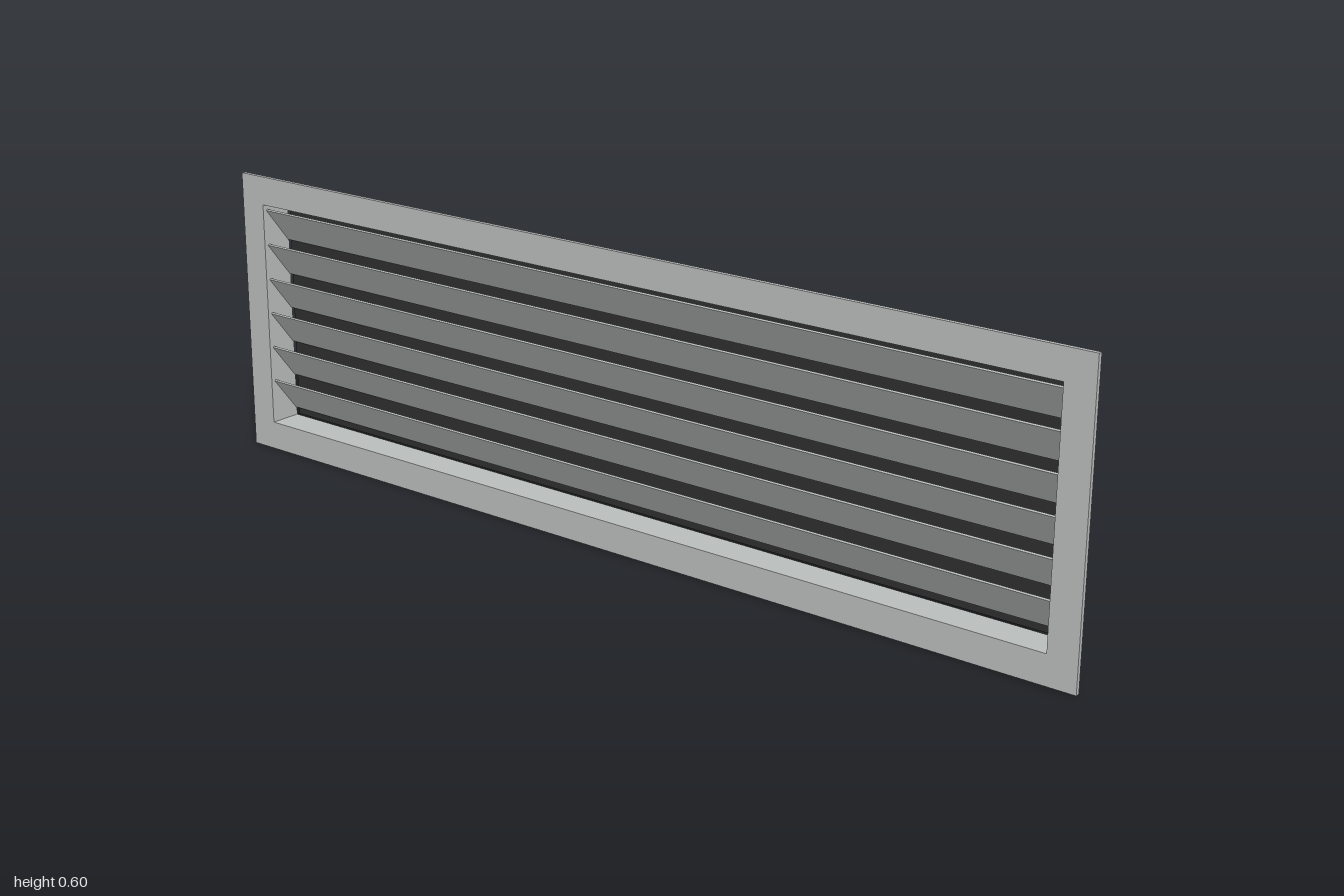
import * as THREE from 'three';

const HOLE_W = 1.88, HOLE_H = 0.48, CENTRE_Y = 0.3;

// Rectangular ring in the XY plane, from z0 to z0 + depth
function ringGeometry(width, height, z0, depth) {
  const rect = (target, w, h) => target
    .moveTo(-w / 2, -h / 2).lineTo(w / 2, -h / 2)
    .lineTo(w / 2, h / 2).lineTo(-w / 2, h / 2).closePath();
  const shape = rect(new THREE.Shape(), width, height);
  shape.holes.push(rect(new THREE.Path(), HOLE_W, HOLE_H));
  return new THREE.ExtrudeGeometry(shape, { depth, bevelEnabled: false }).translate(0, CENTRE_Y, z0);
}

export function createModel() {
  const model = new THREE.Group();
  model.name = 'ventGrille';

  const metal = new THREE.MeshStandardMaterial({ color: 0xb8bcba });
  metal.name = 'light grey metal';
  const dark = new THREE.MeshStandardMaterial({ color: 0x302e2f });
  dark.name = 'dark backing';

  const add = (name, geometry, material, parent = model) => {
    const mesh = new THREE.Mesh(geometry, material);
    mesh.name = name;
    parent.add(mesh);
    return mesh;
  };

  // Front flange and the duct collar behind it
  add('flange', ringGeometry(2, 0.6, 0.031, 0.009), metal);
  add('collar', ringGeometry(1.892, 0.494, -0.029, 0.06), metal);

  // Slanted blades, front edge high and back edge low
  const blades = new THREE.Group();
  blades.name = 'blades';
  model.add(blades);
  const bladeGeometry = new THREE.BoxGeometry(HOLE_W, 0.004, 0.094);
  for (let i = 0; i < 6; i++) {
    const blade = add('blade', bladeGeometry, metal, blades);
    blade.position.set(0, 0.1155 + i * 0.075, 0.001);
    blade.rotation.x = -THREE.MathUtils.degToRad(52);
  }

  // Dark panel closing the back
  add('backPanel', new THREE.BoxGeometry(HOLE_W, HOLE_H, 0.005), dark).position.set(0, CENTRE_Y, -0.0375);

  return model;
}
